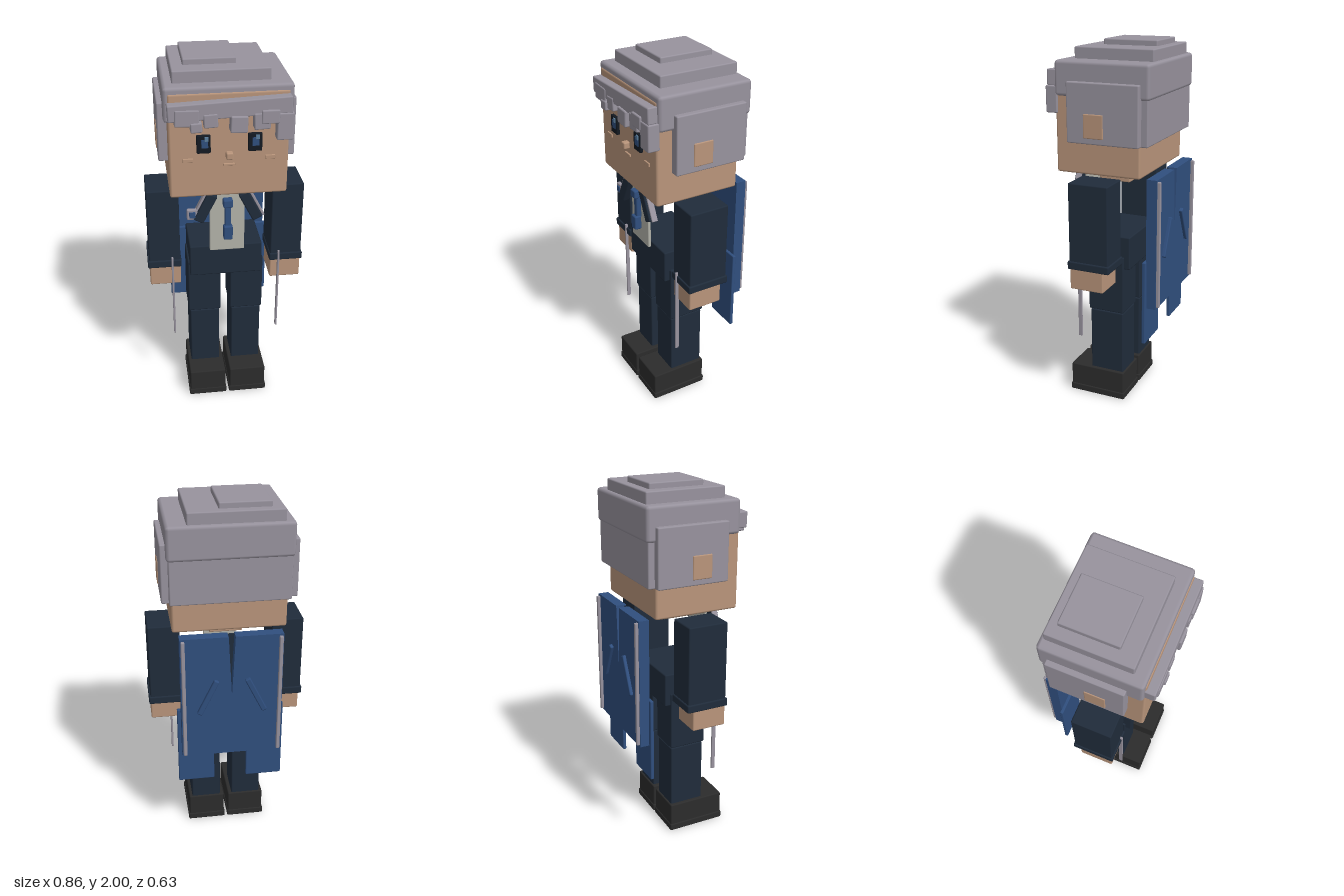
import * as THREE from 'three';
import { RoundedBoxGeometry } from 'three/addons/geometries/RoundedBoxGeometry.js';

const mat = (name, color) => {
  const m = new THREE.MeshStandardMaterial({ color });
  m.name = name;
  return m;
};

export function createModel() {
  const skin = mat('skin', 0xb9957b);
  const hair = mat('hair and trim grey', 0x98939e);
  const navy = mat('navy suit', 0x202c3b);
  const blue = mat('coat blue', 0x304f7e);
  const cream = mat('shirt cream', 0xb3b3aa);
  const black = mat('shoe black', 0x2c2c2c);
  const dark = mat('eye dark', 0x141a22);
  const shine = mat('eye shine', 0x5c7f9e);

  const model = new THREE.Group();
  model.name = 'blockFigure';

  // Slightly bevelled box given by its extents on each axis, with optional tilt about z
  const box = (name, m, [x0, x1], [y0, y1], [z0, z1], tilt = 0, bevel = 0.007) => {
    const w = x1 - x0, h = y1 - y0, d = z1 - z0;
    const r = Math.min(bevel, Math.min(w, h, d) / 4);
    const mesh = new THREE.Mesh(new RoundedBoxGeometry(w, h, d, 1, r), m);
    mesh.position.set((x0 + x1) / 2, (y0 + y1) / 2, (z0 + z1) / 2);
    mesh.rotation.z = tilt;
    mesh.name = name;
    model.add(mesh);
    return mesh;
  };
  // The same box on both sides of the body
  const pair = (name, m, [x0, x1], y, z, tilt = 0) => {
    box('left' + name, m, [x0, x1], y, z, tilt);
    box('right' + name, m, [-x1, -x0], y, z, -tilt);
  };

  // Head and neck
  box('head', skin, [-0.3, 0.3], [1.33, 1.88], [-0.215, 0.255], 0, 0.012);
  box('neck', skin, [-0.09, 0.09], [1.25, 1.34], [-0.07, 0.11]);

  // Stepped hair
  box('hairCap', hair, [-0.32, 0.32], [1.73, 1.91], [-0.27, 0.25], 0, 0.018);
  box('hairCrown', hair, [-0.27, 0.215], [1.9, 1.97], [-0.25, 0.185]);
  box('hairTop', hair, [-0.21, 0.055], [1.96, 2.0], [-0.205, 0.095]);
  box('hairBack', hair, [-0.31, 0.31], [1.5, 1.74], [-0.26, -0.2]);
  pair('HairSide', hair, [0.29, 0.348], [1.5, 1.81], [-0.225, 0.17]);
  pair('Ear', skin, [0.33, 0.353], [1.53, 1.655], [-0.035, 0.075]);

  // Fringe: a tilted band with ragged tufts below it
  box('fringeBand', hair, [-0.303, 0.303], [1.765, 1.85], [0.24, 0.3], 0.04);
  [
    [-0.27, -0.15, 1.73, 1.815, -0.03],
    [-0.195, -0.137, 1.7, 1.75, 0.04],
    [-0.13, -0.06, 1.72, 1.79, 0.05],
    [0, 0.085, 1.69, 1.775, -0.04],
    [0.115, 0.195, 1.7, 1.785, 0.04],
    [0.15, 0.24, 1.73, 1.8, 0],
    [0.228, 0.312, 1.64, 1.78, 0],
  ].forEach(([x0, x1, y0, y1, t], i) =>
    box('fringeTuft' + i, hair, [x0, x1], [y0, y1], [0.24, 0.305 + (i % 2) * 0.006], t));

  // Face
  pair('Eye', dark, [0.093, 0.163], [1.575, 1.67], [0.25, 0.272]);
  for (const x of [-0.118, 0.135]) {
    box('eyeIris', blue, [x - 0.022, x + 0.012], [1.605, 1.65], [0.27, 0.275]);
    box('eyeShine', shine, [x - 0.006, x + 0.014], [1.64, 1.664], [0.27, 0.278]);
  }
  box('nose', skin, [-0.018, 0.018], [1.54, 1.577], [0.25, 0.288]);
  box('mouth', skin, [-0.03, 0.03], [1.497, 1.511], [0.25, 0.263]);
  pair('Cheek', skin, [0.18, 0.232], [1.525, 1.546], [0.25, 0.262]);

  // Arms
  pair('Arm', navy, [0.25, 0.422], [0.87, 1.31], [-0.09, 0.132]);
  pair('Cuff', navy, [0.245, 0.43], [0.843, 0.887], [-0.097, 0.14]);
  pair('Hand', skin, [0.25, 0.42], [0.73, 0.85], [-0.06, 0.13]);

  // Hips, legs and shoes
  box('hips', navy, [-0.2, 0.197], [0.79, 0.975], [-0.115, 0.157]);
  pair('Thigh', navy, [0.027, 0.21], [0.53, 0.86], [-0.083, 0.125]);
  pair('Knee', hair, [0.045, 0.19], [0.515, 0.54], [-0.06, 0.11]);
  pair('Shin', navy, [0.035, 0.202], [0.15, 0.525], [-0.078, 0.118]);
  pair('Shoe', black, [0.013, 0.22], [0.02, 0.165], [-0.087, 0.238]);
  pair('Sole', black, [0.008, 0.226], [0, 0.04], [-0.092, 0.242]);

  // Shirt front and tie
  box('shirtFront', cream, [-0.094, 0.092], [0.97, 1.33], [0.18, 0.197]);
  box('tieKnot', blue, [-0.026, 0.024], [1.245, 1.29], [0.195, 0.24]);
  box('tieUpper', blue, [-0.017, 0.017], [1.12, 1.25], [0.195, 0.225]);
  box('tieLower', blue, [-0.024, 0.024], [1.055, 1.135], [0.2, 0.24]);

  // Lapels with light edging, and the badge
  pair('Lapel', navy, [0.09, 0.146], [1.162, 1.332], [0.195, 0.235], 0.47);
  pair('LapelEdge', hair, [0.146, 0.158], [1.175, 1.34], [0.192, 0.225], 0.47);
  box('badgeFrame', hair, [-0.216, -0.16], [1.182, 1.242], [0.205, 0.228]);
  box('badgeInlay', blue, [-0.204, -0.172], [1.195, 1.229], [0.225, 0.233]);

  // Coat back with a tapered notch at the top
  const outline = new THREE.Shape([
    [-0.27, 0.62], [0.27, 0.62], [0.27, 1.33], [0.018, 1.33], [0, 0.98], [-0.018, 1.33], [-0.27, 1.33],
  ].map(([x, y]) => new THREE.Vector2(x, y)));
  const coat = new THREE.Mesh(
    new THREE.ExtrudeGeometry(outline, { depth: 0.057, bevelEnabled: false }), blue);
  coat.position.z = -0.297;
  coat.name = 'coatBack';
  model.add(coat);
  box('notchLining', navy, [-0.02, 0.02], [0.97, 1.325], [-0.25, -0.241]);

  // Coat tails, back welts and light piping
  pair('CoatTail', blue, [0.09, 0.29], [0.417, 0.885], [-0.245, -0.225]);
  pair('BackWelt', blue, [0.113, 0.143], [0.876, 1.094], [-0.315, -0.29], 0.45);
  pair('BackPiping', hair, [0.245, 0.265], [0.63, 1.32], [-0.314, -0.29]);
  pair('FrontPiping', hair, [0.29, 0.301], [0.398, 0.905], [0.125, 0.147]);

  return model;
}
